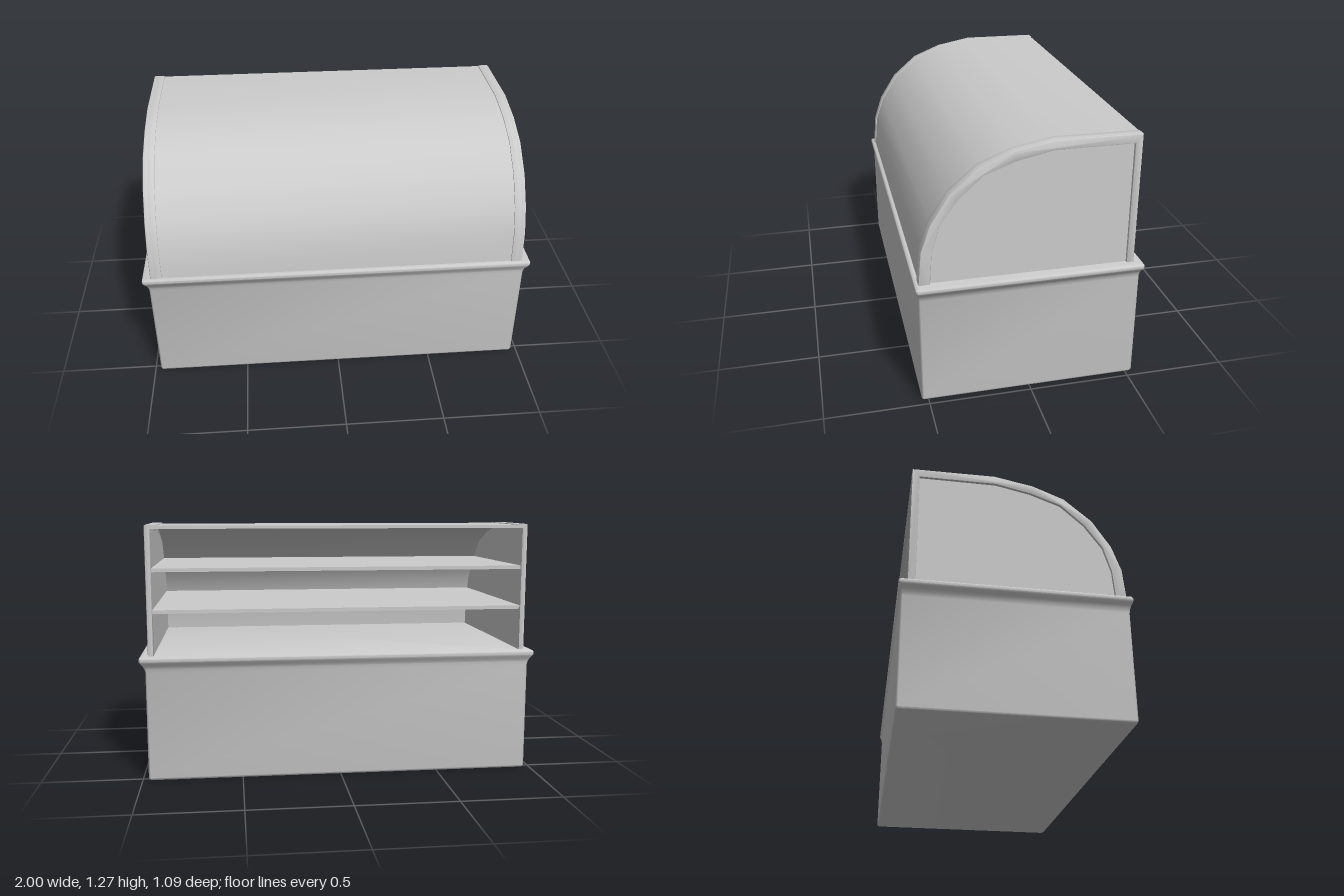
import * as THREE from 'three';
import { toCreasedNormals } from 'three/addons/utils/BufferGeometryUtils.js';

const material = new THREE.MeshStandardMaterial({ color: 0xcccccc, side: THREE.DoubleSide });

// Side profile of the hood as [z, y], from the front foot to the back top
const OUTER = [[0.53, 0.62], [0.515, 0.79], [0.47, 0.92], [0.38, 1.06], [0.245, 1.175], [0.09, 1.237], [-0.1, 1.273], [-0.505, 1.27]];
const INNER = [[0.475, 0.62], [0.463, 0.78], [0.425, 0.91], [0.34, 1.03], [0.225, 1.135], [0.075, 1.19], [-0.095, 1.226], [-0.468, 1.226]];

// Profile between the outer (t = 0) and inner (t = 1) lines, kept flush at the back
function profile(t, backZ) {
  return OUTER.map(([z, y], i) => {
    const last = i === OUTER.length - 1;
    return [last ? backZ : z + (INNER[i][0] - z) * t, y + (INNER[i][1] - y) * t];
  });
}

// Extrudes a [z, y] outline along x from x0 to x1
function slab(points, x0, x1, bevel = 0) {
  const shape = new THREE.Shape(points.map(([z, y]) => new THREE.Vector2(-z, y)));
  const geometry = new THREE.ExtrudeGeometry(shape, {
    depth: x1 - x0 - 2 * bevel, bevelEnabled: bevel > 0, bevelSize: bevel,
    bevelThickness: bevel, bevelOffset: -bevel, bevelSegments: 2,
  });
  geometry.rotateY(Math.PI / 2).translate(x0 + bevel, 0, 0);
  return toCreasedNormals(geometry, 0.65);
}

// Lofts chamfered rectangles [y, half width, half depth] into a closed body
function loft(sections, c) {
  const positions = [], index = [], n = 8;
  for (const [y, w, d] of sections) {
    const ring = [[w, d - c], [w - c, d], [c - w, d], [-w, d - c], [-w, c - d], [c - w, -d], [w - c, -d], [w, c - d]];
    for (const [x, z] of ring) positions.push(x, y, z);
  }
  const top = (sections.length - 1) * n;
  for (let s = 0; s < top; s += n) {
    for (let i = 0; i < n; i++) {
      const j = (i + 1) % n;
      index.push(s + i, s + n + i, s + j, s + j, s + n + i, s + n + j);
    }
  }
  for (let i = 1; i < n - 1; i++) {
    index.push(0, i, i + 1);
    index.push(top, top + i + 1, top + i);
  }
  const geometry = new THREE.BufferGeometry();
  geometry.setAttribute('position', new THREE.Float32BufferAttribute(positions, 3));
  geometry.setIndex(index);
  return toCreasedNormals(geometry, 0.85);
}

export function createModel() {
  const model = new THREE.Group();
  model.name = 'displayCase';
  const add = (name, geometry) => {
    const mesh = new THREE.Mesh(geometry, material);
    mesh.name = name;
    model.add(mesh);
    return mesh;
  };

  // Counter body flaring out into a rounded rim
  add('counterBase', loft([
    [0, 0.962, 0.524], [0.004, 0.967, 0.53], [0.012, 0.97, 0.533],
    [0.55, 0.97, 0.533], [0.57, 0.975, 0.535], [0.585, 0.985, 0.539], [0.597, 0.995, 0.544],
    [0.605, 1, 0.546], [0.617, 1, 0.546], [0.622, 0.998, 0.544], [0.626, 0.991, 0.537],
  ], 0.008));

  // Curved front and roof in one sheet
  add('curvedCover', slab([...profile(0.1, -0.505), ...profile(0.45, -0.505).reverse()], -0.935, 0.935));

  // End walls: recessed panel, raised border and trim overlapping the cover
  const border = [...OUTER, [-0.505, 0.62], [-0.468, 0.62], ...[...INNER].reverse()];
  const panel = [...profile(0.5, -0.49), [-0.49, 0.62]];
  const trim = [...profile(0, -0.505), ...profile(0.4, -0.505).reverse()];
  for (const side of [1, -1]) {
    const span = (a, b) => (side > 0 ? [a, b] : [-b, -a]);
    const label = side > 0 ? 'left' : 'right';
    add(label + 'EndPanel', slab(panel, ...span(0.93, 0.945)));
    add(label + 'EndBorder', slab(border, ...span(0.93, 0.958), 0.007));
    add(label + 'CoverTrim', slab(trim, ...span(0.9, 0.945), 0.003));
  }

  // Shelves reaching from the open back to the curved cover
  for (const [name, y, front] of [['lowerShelf', 0.845, 0.468], ['upperShelf', 1.05, 0.355]]) {
    const back = -0.495;
    add(name, new THREE.BoxGeometry(1.87, 0.018, front - back)).position.set(0, y, (front + back) / 2);
  }
  return model;
}
